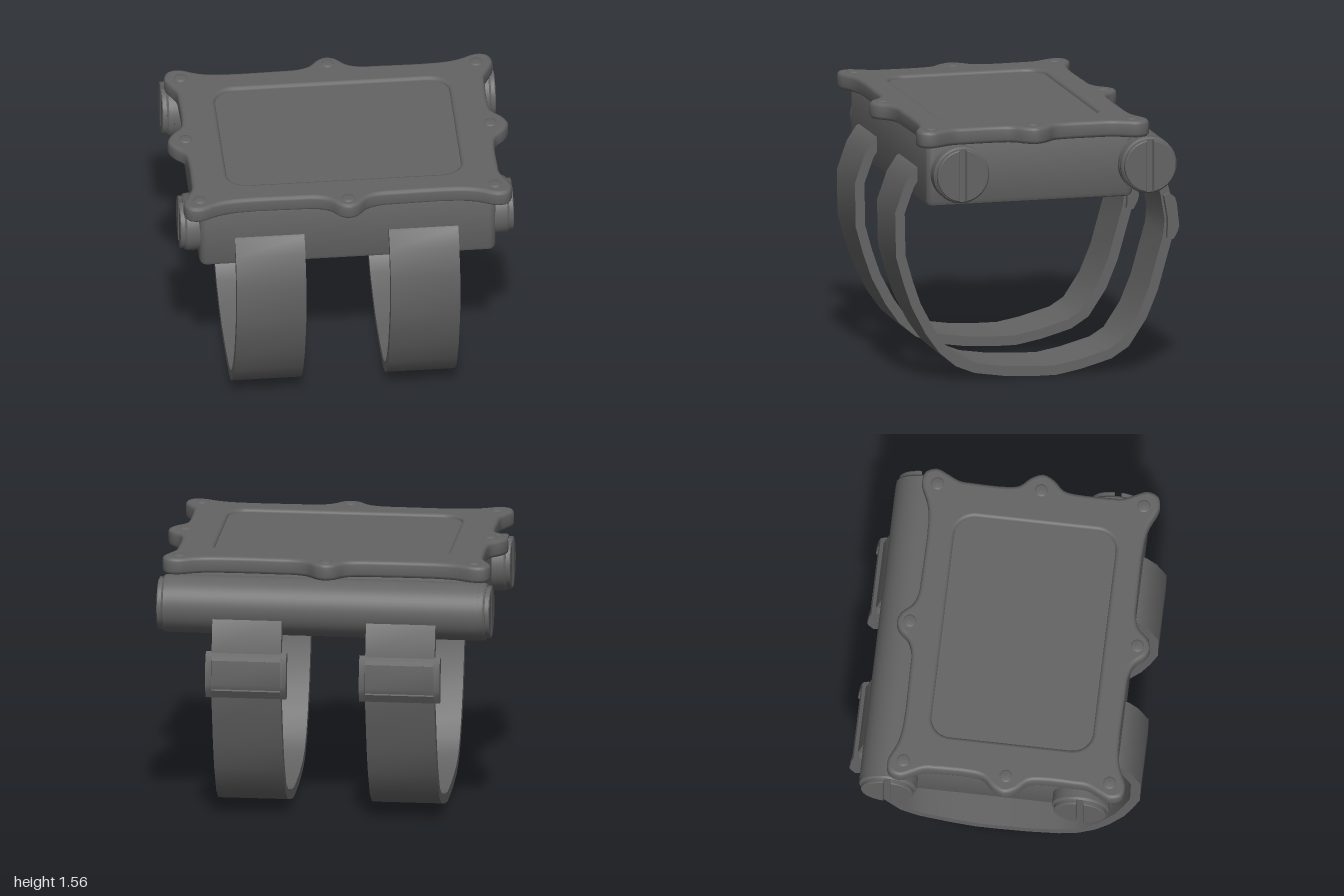
import * as THREE from 'three';
import { toCreasedNormals } from 'three/addons/utils/BufferGeometryUtils.js';

const material = new THREE.MeshStandardMaterial({ color: 0x636363 });
const PLATE_Z = 0.088;

function add(parent, name, geometry, x = 0, y = 0, z = 0) {
  const mesh = new THREE.Mesh(geometry, material);
  mesh.name = name;
  mesh.position.set(x, y, z);
  parent.add(mesh);
  return mesh;
}

// Extrude a plan shape upwards, with an optional bevel kept inside the outline
function extrudeUp(shape, height, bevel = 0, segments = 2) {
  const g = new THREE.ExtrudeGeometry(shape, {
    depth: height - 2 * bevel, curveSegments: 8, bevelEnabled: bevel > 0,
    bevelSize: bevel, bevelThickness: bevel, bevelOffset: -bevel, bevelSegments: segments,
  });
  g.translate(0, 0, bevel).rotateX(-Math.PI / 2);
  const creased = toCreasedNormals(g, 0.6);
  // Keep the level faces evenly flat beside the rounded rim
  const { position, normal } = creased.attributes;
  for (let i = 0; i < position.count; i += 3) {
    const y = [0, 1, 2].map((k) => position.getY(i + k));
    if (Math.max(...y) - Math.min(...y) > 1e-5) continue;
    for (let k = 0; k < 3; k++) normal.setXYZ(i + k, 0, Math.sign(normal.getY(i + k)), 0);
  }
  return creased;
}

// Extrude a side profile of [z, y] points across x, centred
function extrudeAcross(points, width) {
  const shape = new THREE.Shape(points.map(([z, y]) => new THREE.Vector2(-z, y)));
  const g = new THREE.ExtrudeGeometry(shape, { depth: width, bevelEnabled: false });
  g.translate(0, 0, -width / 2).rotateY(Math.PI / 2);
  return toCreasedNormals(g, 0.6);
}

function roundedRect(hw, hh, r, Type = THREE.Shape) {
  const s = new Type();
  s.absarc(hw - r, hh - r, r, 0, Math.PI / 2);
  s.absarc(r - hw, hh - r, r, Math.PI / 2, Math.PI);
  s.absarc(r - hw, r - hh, r, Math.PI, Math.PI * 1.5);
  s.absarc(hw - r, r - hh, r, Math.PI * 1.5, Math.PI * 2);
  s.closePath();
  return s;
}

// Lobed outline: one quadrant mirrored twice, then smoothed
function plateShape() {
  const q = [[1, 0], [0.97, 0.07], [0.915, 0.13], [0.9, 0.2], [0.9, 0.4], [0.905, 0.48],
    [0.94, 0.555], [0.965, 0.62], [0.94, 0.685], [0.87, 0.7], [0.76, 0.655], [0.65, 0.635],
    [0.3, 0.635], [0.18, 0.64], [0.11, 0.667], [0.055, 0.725], [0, 0.745]];
  const half = [...q, ...q.slice(0, -1).reverse().map(([x, y]) => [-x, y])];
  const all = [...half, ...half.slice(1, -1).reverse().map(([x, y]) => [x, -y])];
  const curve = new THREE.CatmullRomCurve3(
    all.map(([x, y]) => new THREE.Vector3(x, y, 0)), true, 'centripetal');
  const pts = [];
  const n = all.length * 3;
  for (let i = 0; i < n; i++) {
    const p = curve.getPoint(i / n);
    pts.push(new THREE.Vector2(p.x, p.y));
  }
  return new THREE.Shape(pts);
}

// Outer edge of the strap from front to back, thickened inwards
function strapProfile(thickness) {
  const outer = [[0.66, 1.31], [0.736, 1.278], [0.795, 1.19], [0.855, 1.02], [0.85, 0.754],
    [0.805, 0.593], [0.754, 0.446], [0.67, 0.285], [0.588, 0.17], [0.487, 0.083],
    [0.372, 0.037], [0.19, 0.01], [0, 0], [-0.12, 0], [-0.27, 0.028], [-0.455, 0.08],
    [-0.56, 0.147], [-0.667, 0.308], [-0.736, 0.474], [-0.777, 0.62], [-0.825, 0.79],
    [-0.835, 0.9], [-0.81, 1.05], [-0.765, 1.24], [-0.72, 1.3]];
  const inner = outer.map(([z, y], i) => {
    const a = outer[Math.max(i - 1, 0)];
    const b = outer[Math.min(i + 1, outer.length - 1)];
    const dz = b[0] - a[0], dy = b[1] - a[1], l = Math.hypot(dz, dy);
    return [z + (dy / l) * thickness, y - (dz / l) * thickness];
  });
  return [...outer, ...inner.reverse()];
}

// Slotted end cap facing +x: flanged disc with two raised half discs
function endCap(length) {
  const cap = new THREE.Group();
  cap.name = 'slottedCap';
  const profile = [[0, 0], [0.155, 0], [0.168, 0.012], [0.168, length - 0.012],
    [0.158, length], [0, length]].map(([r, y]) => new THREE.Vector2(r, y));
  const disc = new THREE.LatheGeometry(profile, 40).rotateZ(-Math.PI / 2);
  add(cap, 'capDisc', toCreasedNormals(disc, 0.5));
  const a = Math.acos(0.02 / 0.154);
  for (const start of [0, Math.PI]) {
    const s = new THREE.Shape();
    s.absarc(0, 0, 0.154, start - a, start + a);
    s.closePath();
    const g = new THREE.ExtrudeGeometry(s, {
      depth: 0.022, curveSegments: 20, bevelSize: 0.005, bevelThickness: 0.005,
      bevelOffset: -0.005, bevelSegments: 1,
    });
    add(cap, 'capFace', toCreasedNormals(g.rotateY(Math.PI / 2), 0.5), length);
  }
  return cap;
}

export function createModel() {
  const model = new THREE.Group();
  model.name = 'wristDevice';

  // Case body with rounded bottom edge
  add(model, 'caseBody', extrudeUp(roundedRect(0.87, 0.625, 0.045), 0.4, 0.03), 0, 1.088, 0.095);

  // Lobed top plate with a sunken screen
  const plate = plateShape();
  plate.holes.push(roundedRect(0.688, 0.475, 0.12, THREE.Path));
  add(model, 'topPlate', extrudeUp(plate, 0.1, 0.022, 3), 0, 1.455, PLATE_Z);
  add(model, 'screen', extrudeUp(roundedRect(0.715, 0.5, 0.13), 0.07), 0, 1.465, PLATE_Z);

  // Low domed plate screws
  const dome = [[0.039, 0], [0.037, 0.005], [0.027, 0.009], [0, 0.01]];
  const screw = new THREE.LatheGeometry(dome.map(([r, y]) => new THREE.Vector2(r, y)), 20);
  const spots = [[0, 0.67], [0, -0.67], [0.895, 0], [-0.895, 0]];
  for (const sx of [-1, 1]) for (const sz of [-1, 1]) spots.push([sx * 0.867, sz * 0.607]);
  for (const [x, z] of spots) add(model, 'plateScrew', screw, x, 1.553, PLATE_Z + z);

  // Rear barrel
  const barrel = new THREE.CylinderGeometry(0.17, 0.17, 1.82, 48).rotateZ(Math.PI / 2);
  add(model, 'rearBarrel', barrel, 0, 1.285, -0.603);

  // Slotted caps on both sides, front and rear
  for (const side of [-1, 1]) {
    for (const z of [0.532, -0.603]) {
      const cap = endCap(0.1);
      cap.position.set(side * 0.852, 1.285, z);
      if (side < 0) cap.rotation.y = Math.PI;
      model.add(cap);
    }
  }

  // Straps with framed buckles
  const strap = extrudeAcross(strapProfile(0.058), 0.408);
  const frame = [[-0.765, 1.04], [-0.8, 1.053], [-0.832, 1.03], [-0.843, 0.99], [-0.857, 0.86],
    [-0.85, 0.832], [-0.822, 0.779], [-0.785, 0.787], [-0.79, 0.9]];
  // Centre profile dips between the upper and lower lips
  const centre = [[-0.765, 1.04], [-0.8, 1.053], [-0.832, 1.03], [-0.84, 1.005],
    [-0.829, 1.002], [-0.846, 0.862], [-0.838, 0.832], [-0.848, 0.826],
    [-0.822, 0.779], [-0.785, 0.787], [-0.79, 0.9]];
  const cheek = extrudeAcross(frame, 0.035);
  const middle = extrudeAcross(centre, 0.405);
  for (const x of [-0.461, 0.443]) {
    add(model, 'strap', strap, x);
    const buckle = new THREE.Group();
    buckle.name = 'buckle';
    buckle.position.x = x;
    add(buckle, 'buckleCentre', middle);
    for (const side of [-1, 1]) add(buckle, 'buckleCheek', cheek, side * 0.22);
    model.add(buckle);
  }
  return model;
}
